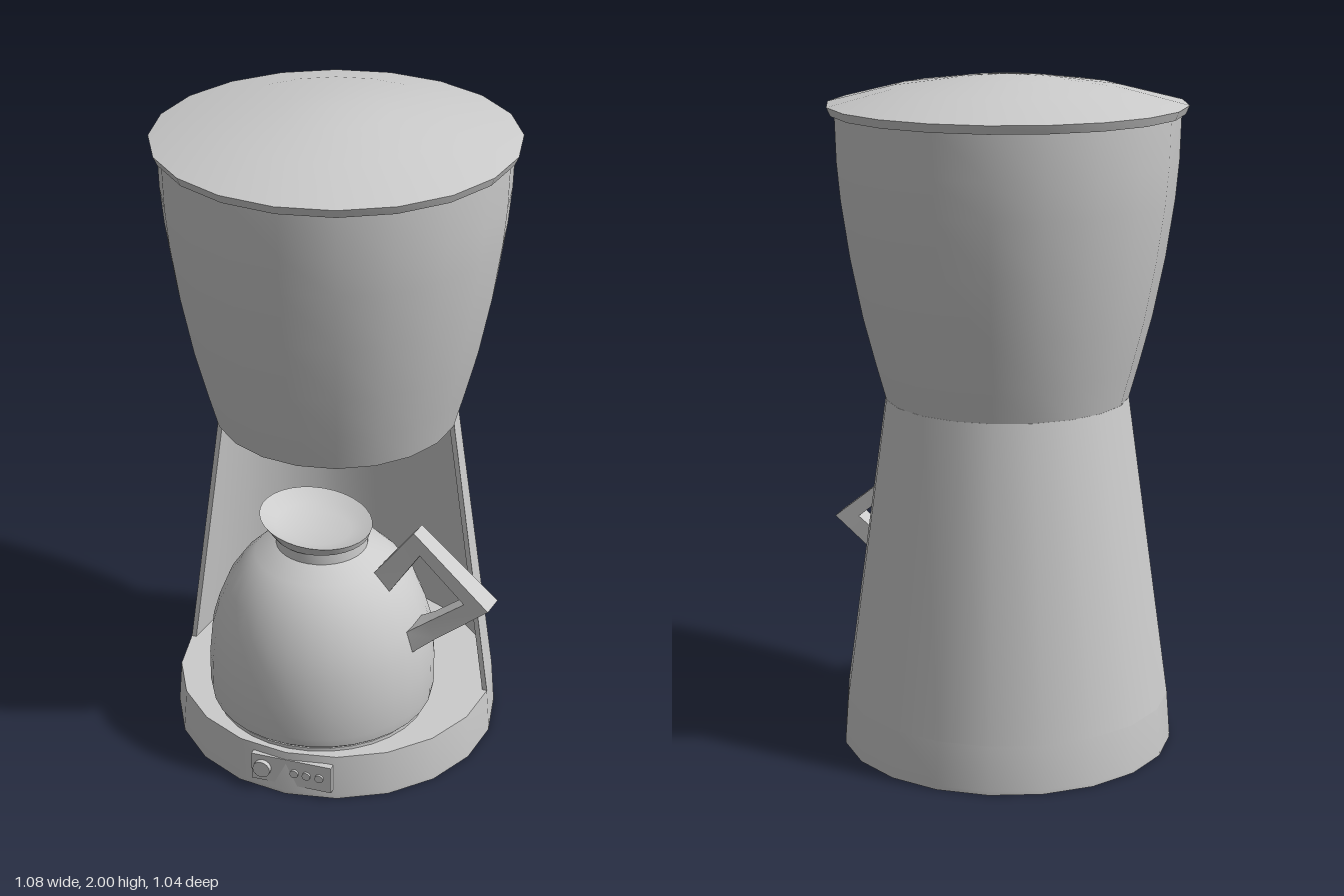
import * as THREE from 'three';
import { toCreasedNormals } from 'three/addons/utils/BufferGeometryUtils.js';

const AXIS_X = -0.017;
const POT_Z = 0.14;
const material = new THREE.MeshStandardMaterial({ color: 0xcccccc, side: THREE.DoubleSide });

// Turned shape from [radius, height] pairs, listed from the bottom up.
function lathe(profile, sides = 20, start = 0, sweep = Math.PI * 2) {
  const points = profile.map(([r, y]) => new THREE.Vector2(r, y));
  return new THREE.LatheGeometry(points, sides, start, sweep);
}

function add(parent, name, geometry, crease = 0.55) {
  const mesh = new THREE.Mesh(toCreasedNormals(geometry, crease), material);
  mesh.name = name;
  parent.add(mesh);
  return mesh;
}

// Bar through rectangular sections, each with an outer and inner point and a half width.
function barGeometry(sections) {
  const positions = [];
  const index = [];
  for (const { outer, inner, w } of sections) {
    positions.push(...outer, w, ...outer, -w, ...inner, -w, ...inner, w);
  }
  for (let s = 0; s < sections.length - 1; s++) {
    for (let k = 0; k < 4; k++) {
      const a = s * 4 + k, b = s * 4 + (k + 1) % 4;
      index.push(a, a + 4, b, b, a + 4, b + 4);
    }
  }
  const e = (sections.length - 1) * 4;
  index.push(0, 1, 2, 0, 2, 3, e, e + 2, e + 1, e, e + 3, e + 2);
  const geometry = new THREE.BufferGeometry();
  geometry.setAttribute('position', new THREE.Float32BufferAttribute(positions, 3));
  geometry.setIndex(index);
  return geometry;
}

function createCarafe() {
  const carafe = new THREE.Group();
  carafe.name = 'carafe';

  add(carafe, 'carafeBody', lathe([
    [0, 0.155], [0.32, 0.155], [0.338, 0.17], [0.343, 0.2], [0.343, 0.3], [0.333, 0.4],
    [0.313, 0.47], [0.285, 0.54], [0.245, 0.6], [0.2, 0.645], [0.137, 0.68], [0.135, 0.715],
  ], 32));

  // Flared mouth, tilted and drawn out towards the pouring side
  const mouth = lathe([
    [0.135, 0.712], [0.145, 0.717], [0.168, 0.755], [0.13, 0.732], [0.09, 0.72], [0, 0.715],
  ], 32);
  const p = mouth.attributes.position;
  for (let i = 0; i < p.count; i++) {
    const x = p.getX(i), y = p.getY(i);
    const t = Math.max(0, (y - 0.715) / 0.04);
    p.setXY(i, x - 0.018 * t, y - x * 0.12 * t);
  }
  add(carafe, 'carafeMouth', mouth);

  // Angular handle, turned slightly forwards
  const handle = add(carafe, 'carafeHandle', barGeometry([
    { outer: [0.175, 0.62], inner: [0.235, 0.58], w: 0.045 },
    { outer: [0.313, 0.805], inner: [0.333, 0.735], w: 0.028 },
    { outer: [0.556, 0.61], inner: [0.48, 0.614], w: 0.036 },
    { outer: [0.395, 0.47], inner: [0.36, 0.515], w: 0.036 },
    { outer: [0.313, 0.397], inner: [0.3, 0.47], w: 0.052 },
  ]), 0.3);
  handle.rotation.y = -0.155;

  carafe.position.set(AXIS_X, 0, POT_Z);
  return carafe;
}

export function createModel() {
  const model = new THREE.Group();
  model.name = 'coffeeMaker';
  const body = new THREE.Group();
  body.name = 'body';
  body.position.x = AXIS_X;
  model.add(body);

  add(body, 'base', lathe([[0, 0], [0.497, 0], [0.497, 0.012], [0.487, 0.145], [0, 0.145]]));
  const plate = add(body, 'warmingPlate', new THREE.CylinderGeometry(0.325, 0.325, 0.012, 32));
  plate.position.set(0, 0.15, POT_Z);

  // Hollow half-round column behind the carafe
  add(body, 'column', lathe([
    [0.487, 0.145], [0.36, 1.06], [0.345, 1.06], [0.472, 0.145],
  ], 10, Math.PI / 2, Math.PI));
  for (const side of [-1, 1]) {
    const edge = new THREE.Shape([[0.472, 0.145], [0.487, 0.145], [0.36, 1.06], [0.345, 1.06]]
      .map(([x, y]) => new THREE.Vector2(side * x, y)));
    add(body, 'columnEdge', new THREE.ShapeGeometry(edge));
  }

  // Filter housing with an overhanging lid
  add(body, 'filterHousing', lathe([
    [0, 1.055], [0.358, 1.055], [0.39, 1.17], [0.425, 1.305], [0.46, 1.48],
    [0.485, 1.65], [0.495, 1.76], [0.499, 1.9],
  ]));
  add(body, 'lid', lathe([
    [0, 1.89], [0.51, 1.89], [0.521, 1.915], [0.33, 1.963], [0.15, 1.987], [0, 2],
  ]));

  // Control panel with one large knob and three small buttons
  const panel = add(body, 'controlPanel', new THREE.BoxGeometry(0.25, 0.09, 0.02));
  panel.position.set(0.017, 0.075, 0.48);
  const controls = [[-0.09, 0.027, 0.505], [0.01, 0.013, 0.497], [0.048, 0.013, 0.497], [0.088, 0.013, 0.497]];
  controls.forEach(([x, r, front], i) => {
    const button = add(model, i ? 'button' : 'knob', new THREE.CylinderGeometry(r, r, 0.04, 16));
    button.rotation.x = Math.PI / 2;
    button.position.set(x, 0.077, front - 0.02);
  });

  model.add(createCarafe());
  return model;
}
